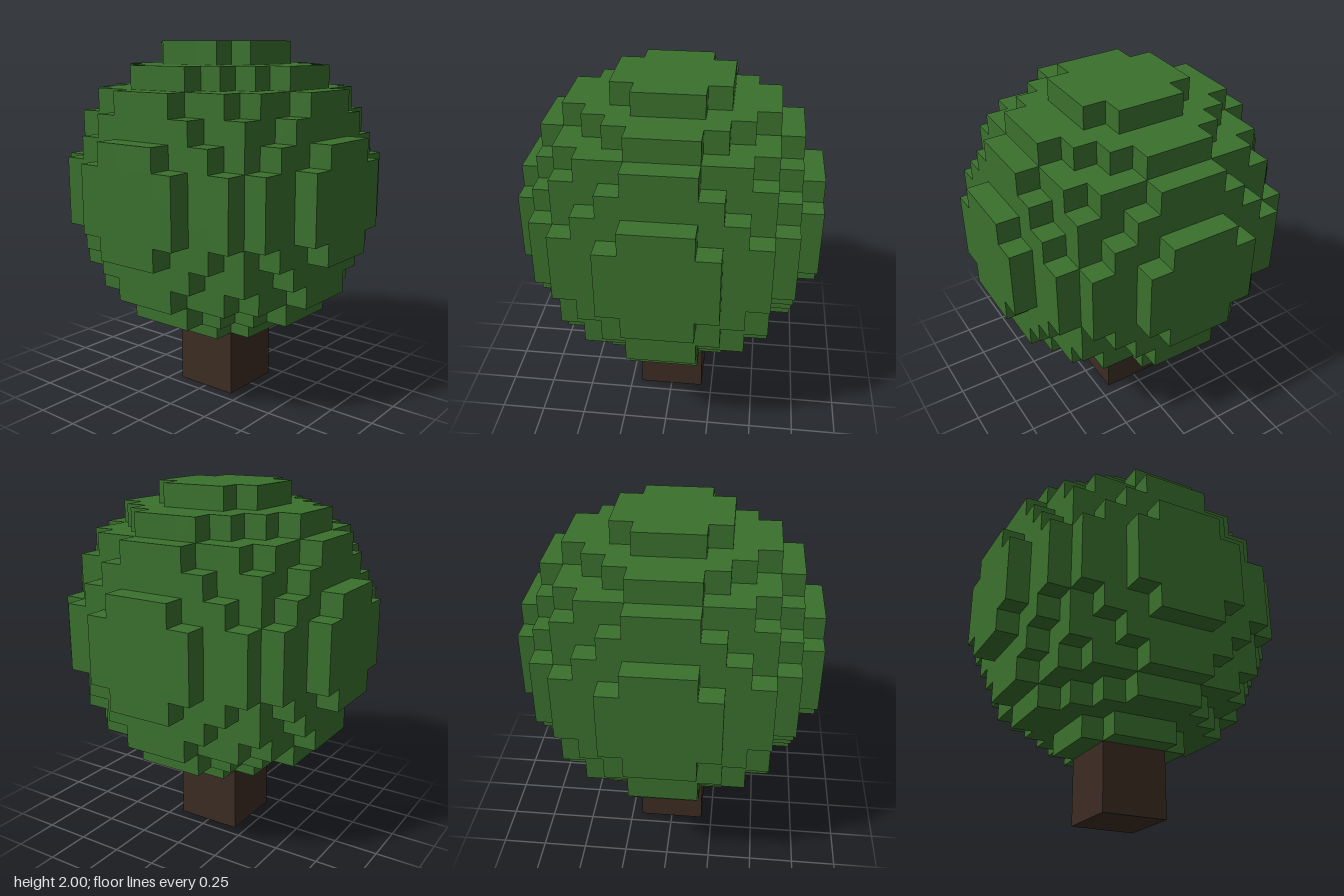
import * as THREE from 'three';
import { mergeGeometries } from 'three/addons/utils/BufferGeometryUtils.js';

const CELL = 0.125; // edge of one cube
const REACH = 6; // cubes from the crown's centre to its rim
const LIMIT = 42; // squared radius of the crown, in cubes

// Outer faces of a ball made of cubes
function cubeBall() {
  const inside = (p) => p.lengthSq() <= LIMIT;
  const forward = new THREE.Vector3(0, 0, 1);
  const faces = [];
  for (const axis of ['x', 'y', 'z']) {
    for (const sign of [-1, 1]) {
      const normal = new THREE.Vector3();
      normal[axis] = sign;
      const turn = new THREE.Quaternion().setFromUnitVectors(forward, normal);
      const template = new THREE.PlaneGeometry(CELL, CELL)
        .translate(0, 0, CELL / 2)
        .applyQuaternion(turn);
      for (let x = -REACH; x <= REACH; x++) {
        for (let y = -REACH; y <= REACH; y++) {
          for (let z = -REACH; z <= REACH; z++) {
            const p = new THREE.Vector3(x, y, z);
            if (!inside(p) || inside(p.clone().add(normal))) continue;
            faces.push(template.clone().translate(x * CELL, y * CELL, z * CELL));
          }
        }
      }
    }
  }
  return mergeGeometries(faces);
}

export function createModel() {
  const leafGreen = new THREE.MeshStandardMaterial({ color: 0x3a702d });
  leafGreen.name = 'leafGreen';
  const barkBrown = new THREE.MeshStandardMaterial({ color: 0x3c2c22 });
  barkBrown.name = 'barkBrown';

  const tree = new THREE.Group();
  tree.name = 'tree';

  // Square trunk, three cubes on each side
  const trunkSize = 3 * CELL;
  const trunk = new THREE.Mesh(new THREE.BoxGeometry(trunkSize, trunkSize, trunkSize), barkBrown);
  trunk.name = 'trunk';
  trunk.position.y = trunkSize / 2;

  // Round stepped crown resting on the trunk
  const crown = new THREE.Mesh(cubeBall(), leafGreen);
  crown.name = 'crown';
  crown.position.y = trunkSize + (REACH + 0.5) * CELL;

  tree.add(trunk, crown);
  return tree;
}
